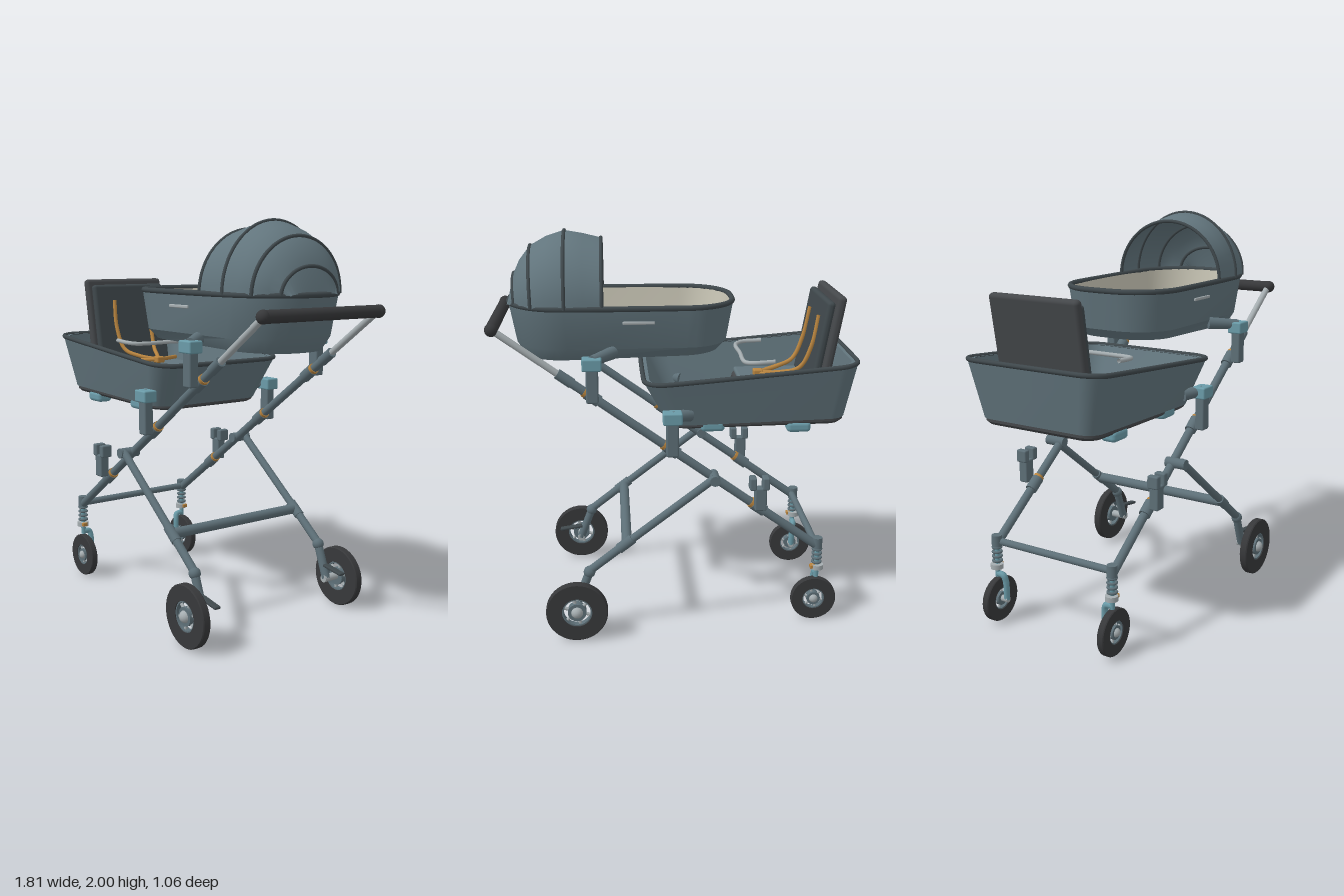
import * as THREE from 'three';
import { toCreasedNormals } from 'three/addons/utils/BufferGeometryUtils.js';
import { RoundedBoxGeometry } from 'three/addons/geometries/RoundedBoxGeometry.js';

const V = (x, y, z) => new THREE.Vector3(x, y, z);
const mat = (name, color) => {
  const m = new THREE.MeshStandardMaterial({ color, side: THREE.DoubleSide });
  m.name = name;
  return m;
};
const slate = mat('slate fabric', 0x62757d);
const frameGrey = mat('frame grey', 0x5d6f77);
const trim = mat('dark trim', 0x3f484c);
const charcoal = mat('charcoal', 0x45484b);
const black = mat('tyre black', 0x37383a);
const cream = mat('cream lining', 0xc6c3b3);
const silver = mat('silver', 0xa5adb0);
const teal = mat('teal plastic', 0x6a9ba8);
const orange = mat('orange strap', 0xb8843f);

export function createModel() {
  const model = new THREE.Group();
  model.name = 'twinPushchair';

  const add = (name, geo, m, pos = [0, 0, 0], rot = [0, 0, 0]) => {
    const mesh = new THREE.Mesh(geo, m);
    mesh.name = name;
    mesh.position.set(...pos);
    mesh.rotation.set(...rot);
    model.add(mesh);
    return mesh;
  };
  const box = (name, size, pos, m, rot, r = 0.008) =>
    add(name, new RoundedBoxGeometry(...size, 2, r), m, pos, rot);
  const rod = (name, a, b, r, m, r2 = r) => {
    const d = b.clone().sub(a);
    const mesh = add(name, new THREE.CylinderGeometry(r2, r, d.length(), 16), m);
    mesh.position.copy(a).addScaledVector(d, 0.5);
    mesh.quaternion.setFromUnitVectors(V(0, 1, 0), d.normalize());
    return mesh;
  };
  const tube = (name, pts, r, m, closed = false, seg = 60) =>
    add(name, new THREE.TubeGeometry(new THREE.CatmullRomCurve3(pts, closed, 'centripetal'), seg, r, 8, closed), m);

  // Rounded outline in plan; height runs from yL at x0 to yR at x1
  const outline = (x0, x1, hw, rL, rR, yL, yR = yL) => {
    const pts = [];
    [[1, 1, 0], [-1, 1, 1], [-1, -1, 2], [1, -1, 3]].forEach(([sx, sz, q]) => {
      const r = sx > 0 ? rR : rL;
      const cx = sx > 0 ? x1 - r : x0 + r;
      for (let i = 0; i <= 8; i++) {
        const a = (q + i / 8) * Math.PI / 2;
        const x = cx + r * Math.cos(a);
        pts.push(V(x, yL + (yR - yL) * (x - x0) / (x1 - x0), sz * (hw - r) + r * Math.sin(a)));
      }
    });
    return pts;
  };
  // Skin through matching cross-sections
  const loft = (sections, { closed = true, capStart = false, capEnd = false } = {}) => {
    const n = sections[0].length, pts = sections.flat(), idx = [];
    for (let i = 0; i < sections.length - 1; i++) {
      for (let j = 0; j < (closed ? n : n - 1); j++) {
        const a = i * n + j, b = i * n + (j + 1) % n;
        idx.push(a, a + n, b, b, a + n, b + n);
      }
    }
    const cap = (k, flip) => {
      const c = sections[k].reduce((s, p) => s.add(p), V(0, 0, 0)).divideScalar(n);
      const ci = pts.push(c) - 1;
      for (let j = 0; j < n; j++) {
        const a = k * n + j, b = k * n + (j + 1) % n;
        idx.push(ci, flip ? b : a, flip ? a : b);
      }
    };
    if (capStart) cap(0, false);
    if (capEnd) cap(sections.length - 1, true);
    const g = new THREE.BufferGeometry().setFromPoints(pts);
    g.setIndex(idx);
    return toCreasedNormals(g, 0.5);
  };

  // Carrycot: outer shell, cream lining, rim
  add('carrycotShell', loft([
    outline(-0.23, 0.74, 0.24, 0.18, 0.22, 1.41, 1.385),
    outline(-0.27, 0.78, 0.28, 0.21, 0.26, 1.455, 1.45),
    outline(-0.305, 0.815, 0.305, 0.24, 0.28, 1.65)], { capStart: true }), slate);
  add('carrycotLining', loft([
    outline(-0.29, 0.80, 0.29, 0.23, 0.27, 1.652),
    outline(-0.26, 0.77, 0.265, 0.21, 0.25, 1.46)], { capEnd: true }), cream);
  tube('carrycotRim', outline(-0.3, 0.812, 0.3, 0.24, 0.28, 1.652), 0.014, trim, true, 120);

  // Hood: arches of changing width and height
  const arch = (x, w, h, lean = 0) => Array.from({ length: 25 }, (_, i) => {
    const a = i / 24 * Math.PI;
    return V(x + lean * Math.sin(a), 1.65 + h * Math.sin(a), w * Math.cos(a));
  });
  const hood = [[0.35, 0.305, 0.30], [0.44, 0.308, 0.322], [0.53, 0.31, 0.338], [0.62, 0.295, 0.31],
    [0.69, 0.27, 0.265, 0.01], [0.745, 0.22, 0.195, 0.01], [0.775, 0.17, 0.13, 0.01], [0.812, 0.14, 0.01]];
  add('hood', loft(hood.map(h => arch(...h)), { closed: false }), slate);
  [0, 2, 4, 6].forEach(i => tube('hoodRib', arch(...hood[i]), 0.009, trim));

  // Seat basket: shell, inner wall, floor, base, rim
  add('basketShell', loft([
    outline(-0.85, 0.04, 0.33, 0.08, 0.1, 1.095, 1.07),
    outline(-0.9, 0.155, 0.39, 0.1, 0.12, 1.375, 1.285)]), slate);
  add('basketInnerWall', loft([
    outline(-0.87, 0.125, 0.365, 0.09, 0.11, 1.375, 1.287),
    outline(-0.83, 0.03, 0.32, 0.07, 0.09, 1.11, 1.09)]), slate);
  add('basketRimBand', loft([
    outline(-0.9, 0.155, 0.39, 0.1, 0.12, 1.378, 1.288),
    outline(-0.87, 0.125, 0.365, 0.09, 0.11, 1.378, 1.289)]), slate);
  add('basketBase', loft([
    outline(-0.83, 0.02, 0.31, 0.07, 0.09, 1.065, 1.05),
    outline(-0.845, 0.035, 0.325, 0.08, 0.1, 1.08, 1.06),
    outline(-0.845, 0.035, 0.325, 0.08, 0.1, 1.115, 1.095)], { capStart: true, capEnd: true }), charcoal);
  tube('basketRim', outline(-0.897, 0.152, 0.388, 0.1, 0.12, 1.378, 1.288), 0.012, trim, true, 120);

  // Seat: block, pad, reclined backrest
  box('seatBlock', [0.44, 0.1, 0.5], [-0.56, 1.155, 0], charcoal, [0, 0, 0], 0.03);
  box('seatPad', [0.38, 0.03, 0.46], [-0.54, 1.21, 0], slate, [0, 0, 0], 0.014);
  box('backrestShell', [0.045, 0.5, 0.5], [-0.782, 1.44, 0], charcoal, [0, 0, 0.17], 0.02);
  box('backrestPad', [0.04, 0.45, 0.46], [-0.737, 1.435, 0], trim, [0, 0, 0.17], 0.018);

  // Harness
  box('harnessBuckle', [0.05, 0.035, 0.05], [-0.45, 1.25, 0], orange);
  for (const s of [1, -1]) {
    tube('shoulderStrap', [V(-0.735, 1.57, 0.11 * s), V(-0.705, 1.42, 0.115 * s), V(-0.65, 1.3, 0.1 * s),
      V(-0.56, 1.265, 0.06 * s), V(-0.45, 1.25, 0)], 0.011, orange);
    rod('lapStrap', V(-0.63, 1.235, 0.235 * s), V(-0.45, 1.25, 0), 0.011, orange);
  }
  // Bumper bar
  tube('bumperBar', [V(-0.5, 1.365, -0.235), V(-0.4, 1.36, -0.235), V(-0.36, 1.355, -0.2), V(-0.355, 1.355, 0),
    V(-0.36, 1.355, 0.2), V(-0.4, 1.36, 0.235), V(-0.5, 1.365, 0.235)], 0.011, silver);

  // Wheel with open spoked centre, axle along z
  const wheel = (name, x, y, z, R, w) => {
    const h = w / 2;
    const ring = (r0, r1, d) => toCreasedNormals(new THREE.LatheGeometry(
      [[r0, -d], [r1 * 0.97, -d], [r1, -d * 0.75], [r1, d * 0.75], [r1 * 0.97, d], [r0, d], [r0, -d]]
        .map(p => new THREE.Vector2(...p)), 40), 0.5);
    const flat = [Math.PI / 2, 0, 0];
    add(name + 'Tyre', ring(R * 0.49, R, h), black, [x, y, z], flat);
    add(name + 'Rim', ring(R * 0.44, R * 0.5, h * 0.8), frameGrey, [x, y, z], flat);
    add(name + 'Hub', new THREE.CylinderGeometry(R * 0.3, R * 0.3, w * 0.9, 20), frameGrey, [x, y, z], flat);
    add(name + 'HubCap', new THREE.SphereGeometry(R * 0.2, 16, 10), silver, [x, y, z + Math.sign(z) * h * 0.6]);
    for (let i = 0; i < 6; i++) {
      const a = i / 6 * Math.PI * 2 + 0.3;
      const at = r => V(x + r * Math.cos(a), y + r * Math.sin(a), z);
      rod(name + 'Spoke', at(R * 0.25), at(R * 0.47), R * 0.055, silver);
    }
  };

  // Everything that exists once per side
  const railY = x => 0.42 + (x + 0.72) * 0.723;
  for (const s of [1, -1]) {
    const P = (x, y, z) => V(x, y, z * s);
    const zr = 0.345;
    // Main rail and telescopic handle tube
    rod('mainRail', P(-0.72, railY(-0.72), zr), P(0.56, railY(0.56), zr), 0.022, frameGrey);
    rod('handleTube', P(0.55, railY(0.55), zr), P(0.87, 1.57, zr), 0.017, silver);
    rod('handleCollar', P(0.5, railY(0.5), zr), P(0.57, railY(0.57), zr), 0.026, frameGrey);
    add('handleCap', new THREE.SphereGeometry(0.032, 16, 12), black, [0.87, 1.57, 0.35 * s]);

    // Rear leg, pivot and wheel bracket
    rod('pivot', P(-0.19, 0.81, 0.315), P(-0.19, 0.81, 0.425), 0.026, frameGrey);
    rod('rearLegUpper', P(-0.19, 0.82, 0.4), P(0.27, 0.468, 0.4), 0.02, frameGrey);
    rod('rearLegCollar', P(0.22, 0.506, 0.4), P(0.29, 0.452, 0.4), 0.026, frameGrey);
    rod('rearLegLower', P(0.28, 0.46, 0.4), P(0.44, 0.335, 0.4), 0.021, frameGrey);
    add('rearKnuckle', new THREE.SphereGeometry(0.03, 16, 12), frameGrey, [0.44, 0.33, 0.4 * s]);
    rod('rearArm', P(0.44, 0.33, 0.4), P(0.505, 0.16, 0.4), 0.022, frameGrey);
    rod('rearAxle', P(0.505, 0.16, 0.38), P(0.505, 0.16, 0.49), 0.02, silver);
    box('brakeLever', [0.13, 0.015, 0.035], [0.56, 0.22, 0.4 * s], trim, [0, 0, -0.15], 0.006);
    wheel('rearWheel', 0.505, 0.157, 0.488 * s, 0.155, 0.042);

    // Front suspension, fork and wheel
    rod('frontCap', P(-0.73, 0.4, zr), P(-0.73, 0.46, zr), 0.026, frameGrey);
    rod('springCore', P(-0.73, 0.24, zr), P(-0.73, 0.42, zr), 0.013, teal);
    for (let i = 0; i < 4; i++) {
      add('springCoil', new THREE.TorusGeometry(0.021, 0.007, 8, 20), frameGrey,
        [-0.73, 0.325 + i * 0.024, zr * s], [Math.PI / 2, 0, 0]);
    }
    rod('springSeat', P(-0.735, 0.285, zr), P(-0.735, 0.31, zr), 0.032, silver);
    box('springClip', [0.03, 0.02, 0.03], [-0.71, 0.3, 0.35 * s], orange, [0, 0, 0], 0.004);
    tube('frontFork', [P(-0.73, 0.255, zr), P(-0.73, 0.25, 0.31), P(-0.725, 0.22, 0.3), P(-0.72, 0.12, 0.3)], 0.016, teal);
    rod('frontAxle', P(-0.72, 0.12, 0.29), P(-0.72, 0.12, 0.35), 0.016, silver);
    wheel('frontWheel', -0.72, 0.118, zr * s, 0.117, 0.036);

    // Adapter posts on the rail, the lowest one empty with a notch
    [[-0.42, 0.65, 0.82], [0.02, 0.945, 1.165], [0.403, 1.225, 1.44]].forEach(([x, y0, y1], i) => {
      const top = y1 - 0.06;
      box('adapterPost', [0.06, top - y0 + 0.01, 0.05], [x, (y0 + top) / 2, 0.395 * s], frameGrey);
      if (i) box('adapterHead', [0.095, 0.06, 0.075], [x, y1 - 0.03, 0.395 * s], teal);
      else for (const d of [-0.025, 0.04]) {
        box('adapterProng', [0.035, 0.065, 0.06], [x + d, y1 - 0.032, 0.395 * s], frameGrey);
      }
      rod('railClamp', P(x - 0.03, railY(x - 0.03), zr), P(x + 0.03, railY(x + 0.03), zr), 0.03, frameGrey);
      rod('clampRing', P(x + 0.03, railY(x + 0.03), zr), P(x + 0.042, railY(x + 0.042), zr), 0.027, orange);
    });

    // Connecting arms from each unit to its adapter
    rod('carrycotArm', P(0.3, 1.435, 0.275), P(0.4, 1.425, 0.395), 0.032, frameGrey, 0.026);
    rod('basketArm', P(-0.07, 1.13, 0.335), P(0.02, 1.14, 0.395), 0.032, frameGrey, 0.026);

    // Buckles under the basket and carry grip on the cot
    [[-0.615, 1.05], [-0.185, 1.062]].forEach(([x, y]) =>
      box('underBuckle', [0.12, 0.055, 0.085], [x, y, 0.285 * s], teal, [0, 0, 0], 0.02));
    box('sideGrip', [0.155, 0.016, 0.012], [0.175, 1.583, 0.3 * s], silver, [0, 0, 0], 0.005);
  }

  // Cross members
  rod('handleBar', V(0.87, 1.57, -0.35), V(0.87, 1.57, 0.35), 0.03, black);
  rod('rearCrossbar', V(0.25, 0.48, -0.39), V(0.25, 0.48, 0.39), 0.026, frameGrey);
  rod('frontCrossbar', V(-0.72, 0.425, -0.345), V(-0.72, 0.425, 0.345), 0.018, frameGrey);

  return model;
}
